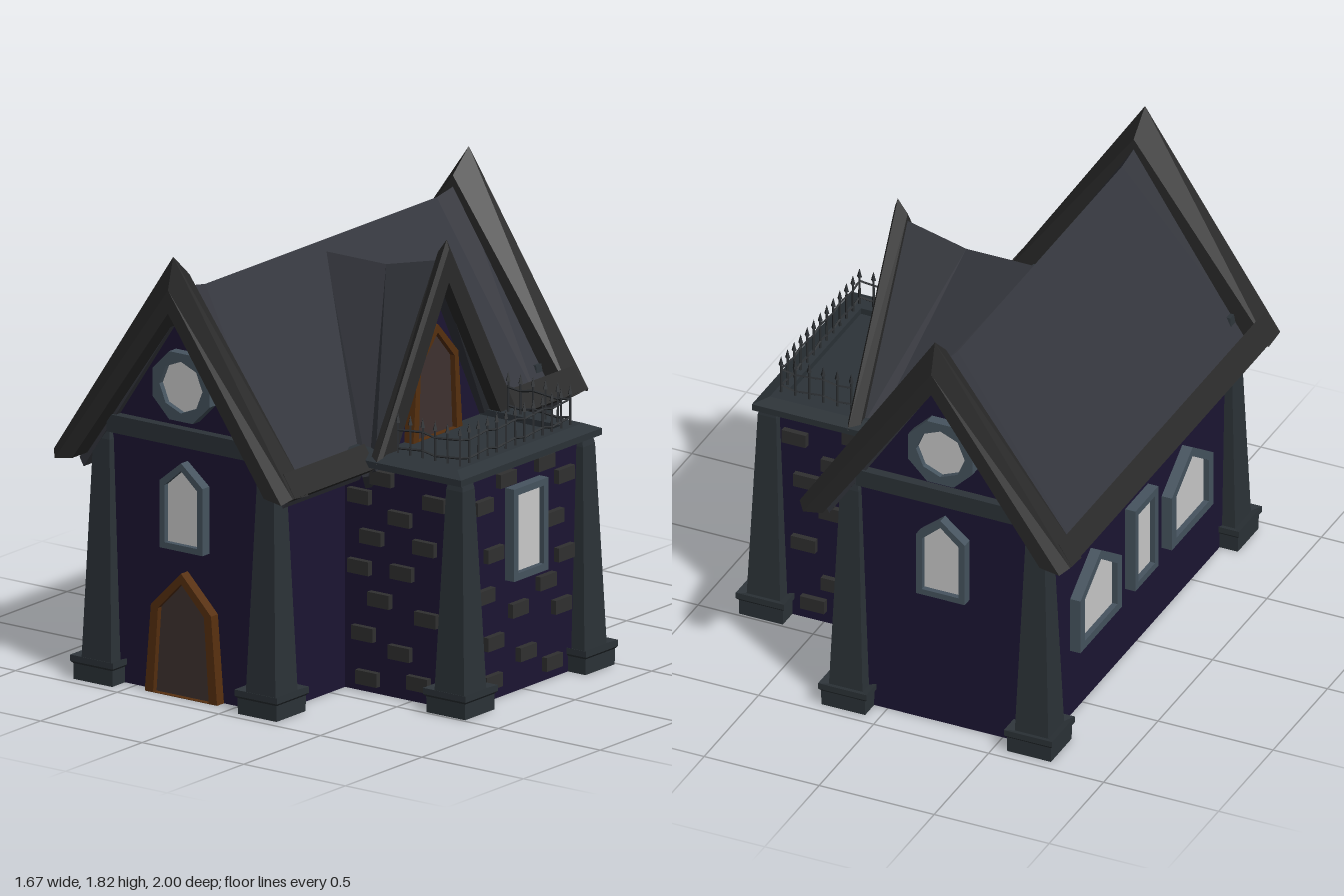
import * as THREE from 'three';
import { mergeGeometries } from 'three/addons/utils/BufferGeometryUtils.js';

const mat = (color, side = THREE.FrontSide) =>
  new THREE.MeshStandardMaterial({ color, flatShading: true, side });
const WALL = mat(0x1c1533, THREE.DoubleSide), STONE = mat(0x2c3338), TRIM = mat(0x2a2a2a),
  ROOF = mat(0x34363d), FRAME = mat(0x46545f), GLASS = mat(0xcccccc), WOOD = mat(0x57300f),
  DOOR = mat(0x3f3230), BRICK = mat(0x303030), IRON = mat(0x2a2d30);

const CX = -0.25; // ridge line of the main house

function add(parent, name, geometry, material, x = 0, y = 0, z = 0) {
  const m = new THREE.Mesh(geometry, material);
  m.name = name;
  m.position.set(x, y, z);
  parent.add(m);
  return m;
}

// Skin a list of equal-length convex rings of [x, y, z]; faces are turned outward by signed volume
function loft(rings, caps = true) {
  const n = rings[0].length, tris = [];
  for (let r = 0; r < rings.length - 1; r++) {
    for (let i = 0; i < n; i++) {
      const j = (i + 1) % n, a = rings[r], b = rings[r + 1];
      tris.push([a[i], a[j], b[j]], [a[i], b[j], b[i]]);
    }
  }
  if (caps) {
    const a = rings[0], b = rings[rings.length - 1];
    for (let i = 1; i < n - 1; i++) tris.push([a[0], a[i + 1], a[i]], [b[0], b[i], b[i + 1]]);
  }
  let volume = 0;
  for (const t of tris) {
    const [p, q, s] = t.map(v => new THREE.Vector3(...v));
    volume += p.dot(q.cross(s));
  }
  if (volume < 0) tris.forEach(t => t.reverse());
  const g = new THREE.BufferGeometry();
  g.setAttribute('position', new THREE.Float32BufferAttribute(tris.flat(2), 3));
  g.computeVertexNormals();
  return g;
}

// Stacked rectangles [halfX, halfZ, y]
const stack = (levels, caps) =>
  loft(levels.map(([w, d, y]) => [[-w, y, -d], [w, y, -d], [w, y, d], [-w, y, d]]), caps);

const shapeOf = pts => new THREE.Shape(pts.map(p => new THREE.Vector2(...p)));
function slab(shape, z0, z1) {
  return new THREE.ExtrudeGeometry(shape, { depth: z1 - z0, bevelEnabled: false }).translate(0, 0, z0);
}

// Framed door or window set into a wall, facing local +z
function opening(parent, name, outer, inner, frameMat, panelMat, x, y, z, turn = 0) {
  const g = new THREE.Group();
  g.name = name;
  g.position.set(x, y, z);
  g.rotation.y = turn;
  const ring = shapeOf(outer);
  ring.holes.push(new THREE.Path(inner.map(p => new THREE.Vector2(...p))));
  add(g, name + 'Back', slab(shapeOf(outer), -0.012, 0.01), frameMat);
  add(g, name + 'Frame', slab(ring, 0.01, 0.045), frameMat);
  add(g, name + 'Panel', slab(shapeOf(inner), 0.01, 0.022), panelMat);
  parent.add(g);
}

// Outline with a pointed top: half width at foot and shoulder, then heights
const pointed = (foot, shoulder, y0, y1, y2) =>
  [[-foot, y0], [foot, y0], [shoulder, y1], [0, y2], [-shoulder, y1]];
const rect = (w, y0, y1) => [[-w, y0], [w, y0], [w, y1], [-w, y1]];
const octagon = (r, turn) => Array.from({ length: 8 }, (_, i) => {
  const a = (i + turn) * Math.PI / 4;
  return [r * Math.cos(a), r * Math.sin(a)];
});

function column(parent, x, z, top) {
  const g = new THREE.Group();
  g.name = 'column';
  g.position.set(x, 0, z);
  const sq = list => stack(list.map(([w, y]) => [w, w, y]));
  add(g, 'columnBase', sq([[0.095, 0], [0.096, 0.065], [0.105, 0.075], [0.105, 0.1], [0.07, 0.088]]), STONE);
  add(g, 'columnShaft', sq([[0.073, 0.08], [0.04, top - 0.04], [0.032, top]]), STONE);
  parent.add(g);
}

function mainHouse(root) {
  const g = new THREE.Group();
  g.name = 'mainHouse';
  g.position.x = CX;
  add(g, 'walls', stack([[0.42, 0.87, 0], [0.42, 0.87, 0.98]], false), WALL);
  for (const s of [1, -1]) {
    const gable = new THREE.ShapeGeometry(shapeOf([[-0.42, 0.98], [0.42, 0.98], [0, 1.62]]));
    if (s < 0) gable.rotateY(Math.PI);
    add(g, 'gableWall', gable, WALL, 0, 0, s * 0.87);
    add(g, 'gableBeam', new THREE.BoxGeometry(0.74, 0.073, 0.05), STONE, 0, 1.063, s * 0.885);
    for (const t of [1, -1]) column(g, t * 0.404, s * 0.858, 1.03);
    const turn = s > 0 ? 0 : Math.PI;
    opening(g, 'roundWindow', octagon(0.151, 0.5), octagon(0.106, 0), FRAME, GLASS, 0, 1.272, s * 0.87, turn);
    opening(g, 'gableWindow', pointed(0.106, 0.106, 0.6, 0.875, 0.962), pointed(0.08, 0.08, 0.625, 0.86, 0.93),
      FRAME, GLASS, 0, 0, s * 0.87, turn);
  }
  opening(g, 'frontDoor', pointed(0.178, 0.148, 0, 0.36, 0.51), pointed(0.137, 0.113, 0.002, 0.35, 0.467),
    WOOD, DOOR, 0, 0, 0.87);
  // Windows of the left-hand long wall
  for (const z of [-0.42, 0.42]) {
    opening(g, 'sideWindow', pointed(0.19, 0.19, 0.3, 0.54, 0.67), pointed(0.15, 0.15, 0.335, 0.525, 0.63),
      FRAME, GLASS, -0.42, 0, z, -Math.PI / 2);
  }
  opening(g, 'sideMiddleWindow', rect(0.105, 0.3, 0.67), rect(0.075, 0.33, 0.64), FRAME, GLASS,
    -0.42, 0, 0, -Math.PI / 2);
  root.add(g);
}

function mainRoof(root) {
  const g = new THREE.Group();
  g.name = 'mainRoof';
  g.position.x = CX;
  for (const s of [1, -1]) {
    // Slope, lifting slightly toward both ends
    const slope = (z, top) => [[0, top, z], [s * 0.51, 0.895, z], [s * 0.49, 0.86, z], [0, 1.6, z]];
    add(g, 'roofSlope', loft([slope(-0.9, 1.685), slope(-0.755, 1.66), slope(0.755, 1.66), slope(0.9, 1.685)]), ROOF);
    // Chamfered boards along the gables
    for (const e of [1, -1]) {
      const board = (z, top, w, y) =>
        [[0, top, e * z], [s * w, y, e * z], [s * 0.472, 0.92, e * z], [0, 1.595, e * z]];
      add(g, 'gableBoard', loft([board(1, 1.69, 0.557, 0.906), board(0.965, 1.82, 0.588, 0.93),
        board(0.86, 1.725, 0.588, 0.92)]), TRIM);
    }
    // Eaves, interrupted by the dormer on one side
    const eave = z => [[s * 0.588, 0.93, z], [s * 0.53, 1.02, z], [s * 0.495, 0.91, z], [s * 0.55, 0.905, z]];
    const spans = s > 0 ? [[0.42, 0.95], [-0.95, -0.42]] : [[-0.95, 0.95]];
    for (const [a, b] of spans) add(g, 'eaveBoard', loft([eave(a), eave(b)]), TRIM);
  }
  root.add(g);
}

function dormer(root) {
  const g = new THREE.Group();
  g.name = 'dormer';
  for (const s of [1, -1]) {
    const slope = (xr, top, xe, w, y) =>
      [[xr, top, 0], [xe, y, s * w], [xe, y - 0.05, s * (w - 0.02)], [xr, top - 0.07, 0]];
    add(g, 'dormerSlope', loft([slope(-0.23, 1.62, 0.27, 0.42, 0.88), slope(0.07, 1.62, 0.3, 0.42, 0.89),
      slope(0.34, 1.685, 0.34, 0.43, 0.93)]), ROOF);
    const board = (x, top, w, y) => [[x, top, 0], [x, y, s * w], [x, 0.95, s * 0.36], [x, 1.6, 0]];
    add(g, 'dormerBoard', loft([board(0.325, 1.715, 0.45, 0.95), board(0.368, 1.773, 0.462, 0.96),
      board(0.38, 1.735, 0.45, 0.945)]), TRIM);
  }
  const wall = new THREE.ShapeGeometry(shapeOf([[-0.39, 0.94], [0.39, 0.94], [0, 1.62]])).rotateY(Math.PI / 2);
  add(g, 'dormerWall', wall, WALL, 0.28);
  opening(g, 'balconyDoor', pointed(0.16, 0.134, 0.965, 1.28, 1.42), pointed(0.125, 0.11, 0.967, 1.265, 1.385),
    WOOD, DOOR, 0.28, 0, 0, Math.PI / 2);
  root.add(g);
}

function wing(root) {
  const g = new THREE.Group();
  g.name = 'sideWing';
  add(g, 'wingWalls', stack([[0.2875, 0.4, 0], [0.2875, 0.4, 0.95]], false), WALL, 0.4525);
  add(g, 'balconyFloor', stack([[0.355, 0.46, 0.94], [0.355, 0.46, 0.967], [0.3, 0.41, 0.99],
    [0.255, 0.33, 0.99], [0.255, 0.33, 0.965]]), STONE, 0.43);
  for (const s of [1, -1]) column(g, 0.732, s * 0.393, 0.95);
  opening(g, 'wingWindow', rect(0.112, 0.47, 0.848), rect(0.083, 0.5, 0.82), FRAME, GLASS, 0.74, 0, 0, Math.PI / 2);
  // Scattered raised bricks: [x, y] on front and back, [z, y] on the side
  const frontBricks = [[.36, .89], [.62, .83], [.25, .8], [.45, .74], [.31, .64], [.57, .64], [.25, .51],
    [.46, .52], [.35, .39], [.58, .35], [.27, .24], [.45, .19], [.29, .06], [.54, .08]];
  const sideBricks = [[.12, .89], [-.13, .9], [.27, .81], [-.26, .82], [-.19, .66], [.2, .6], [-.26, .5],
    [.26, .44], [-.14, .41], [.04, .34], [-.24, .29], [.2, .24], [-.01, .15], [.21, .08], [-.18, .07]];
  const parts = [];
  for (const [x, y] of frontBricks) {
    for (const s of [1, -1]) parts.push(new THREE.BoxGeometry(0.105, 0.057, 0.04).translate(x, y, s * 0.405));
  }
  for (const [z, y] of sideBricks) parts.push(new THREE.BoxGeometry(0.04, 0.057, 0.105).translate(0.745, y, z));
  add(g, 'bricks', mergeGeometries(parts), BRICK);
  root.add(g);
}

function fence(root) {
  const posts = [];
  for (let i = 0; i < 5; i++) posts.push([0.4 + i * 0.061, 0.36]);
  for (let i = 0; i <= 12; i++) posts.push([0.705, 0.36 - i * 0.06]);
  for (let i = 4; i >= 0; i--) posts.push([0.4 + i * 0.061, -0.36]);
  const parts = [];
  for (const [x, z] of posts) {
    parts.push(new THREE.CylinderGeometry(0.005, 0.006, 0.14, 4).translate(x, 1.05, z));
    parts.push(new THREE.ConeGeometry(0.011, 0.04, 4).translate(x, 1.135, z));
  }
  // Slightly bent rails
  for (const y of [1.015, 1.09]) {
    const path = new THREE.CurvePath();
    const pts = posts.map(([x, z], i) => new THREE.Vector3(x, y + (i % 3 - 1) * 0.006, z));
    for (let i = 1; i < pts.length; i++) path.add(new THREE.LineCurve3(pts[i - 1], pts[i]));
    parts.push(new THREE.TubeGeometry(path, 88, 0.005, 4));
  }
  add(root, 'balconyFence', mergeGeometries(parts), IRON);
}

export function createModel() {
  const root = new THREE.Group();
  root.name = 'house';
  mainHouse(root);
  mainRoof(root);
  dormer(root);
  wing(root);
  fence(root);
  return root;
}
